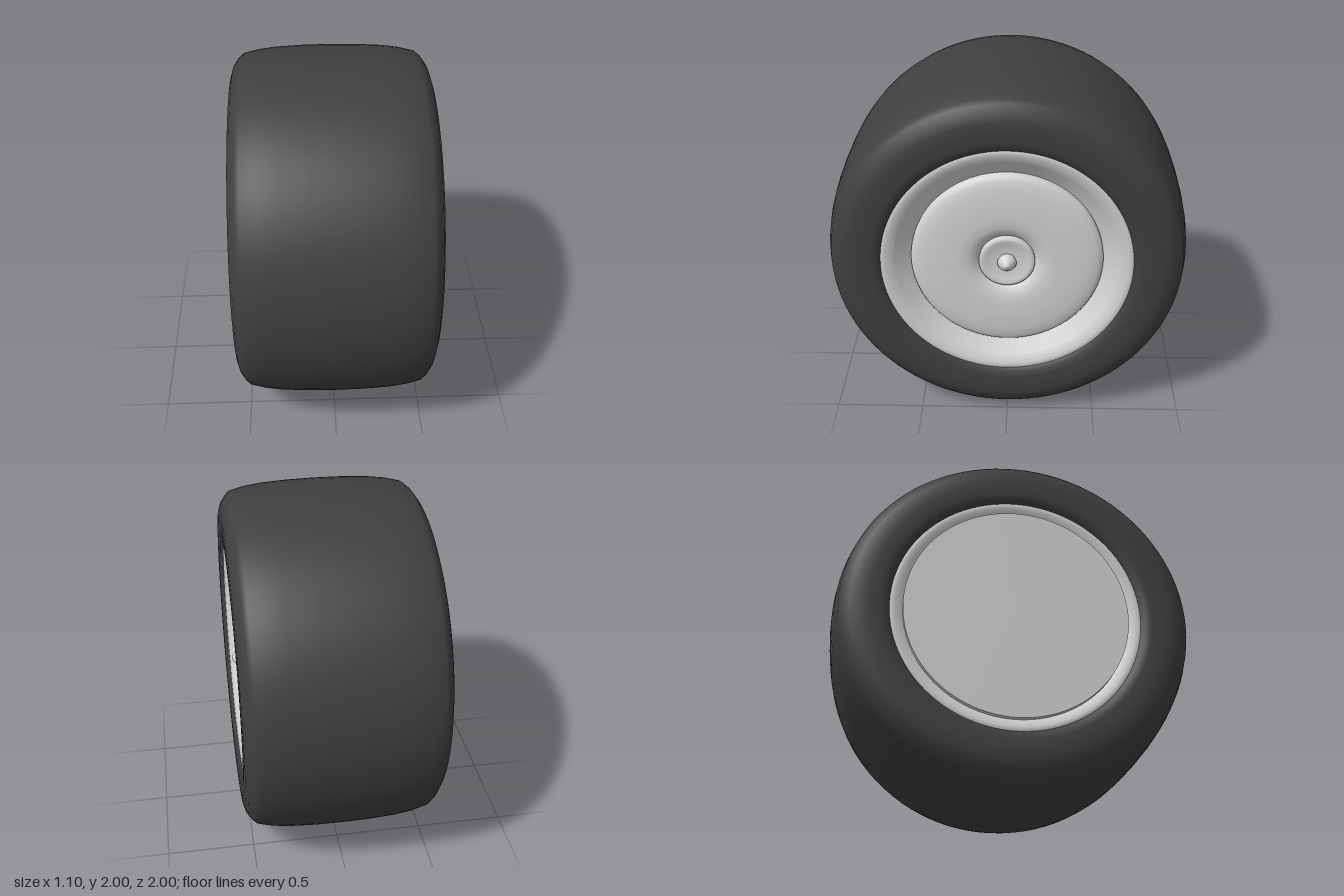
import * as THREE from 'three';

const SEGMENTS = 96;

export function createModel() {
  const rubber = new THREE.MeshStandardMaterial({ color: 0x3f3f3f });
  rubber.name = 'dark rubber';
  const metal = new THREE.MeshStandardMaterial({ color: 0xd4d4d4 });
  metal.name = 'light metal';

  const wheel = new THREE.Group();
  wheel.name = 'wheel';

  // Profiles are [radius, position along the axle] pairs, ordered so faces point outward
  const turn = (name, material, profile) => {
    const points = profile.map(([r, a]) => new THREE.Vector2(r, a));
    const mesh = new THREE.Mesh(new THREE.LatheGeometry(points, SEGMENTS), material);
    mesh.name = name;
    wheel.add(mesh);
  };
  const mirror = (profile) => profile.map(([r, a]) => [r, -a]).reverse();

  // Tyre: half profile from the middle of the tread to the rim, mirrored
  const halfTyre = [
    [0.998, 0.15], [0.99, 0.3], [0.977, 0.4], [0.957, 0.48], [0.935, 0.505],
    [0.895, 0.533], [0.85, 0.547], [0.8, 0.55], [0.74, 0.549], [0.705, 0.541], [0.685, 0.522],
  ];
  turn('tyre', rubber, [...mirror(halfTyre), [1, 0], ...halfTyre]);

  // Rim lips on both sides
  const lip = [[0.688, 0.515], [0.683, 0.526], [0.66, 0.523], [0.635, 0.515], [0.615, 0.503]];
  turn('outerRimLip', metal, lip);
  turn('innerRimLip', metal, mirror(lip));

  // Sloping wall between the lip and the wheel disc
  turn('rimWall', metal, [[0.615, 0.503], [0.5, 0.42]]);

  // Domed wheel disc, dipping towards the hub
  turn('wheelDisc', metal, [
    [0.525, 0.425], [0.525, 0.455], [0.516, 0.47], [0.49, 0.484], [0.44, 0.493], [0.36, 0.499],
    [0.27, 0.5], [0.22, 0.496], [0.185, 0.484], [0.165, 0.468], [0.145, 0.45],
  ]);

  // Dished hub cap with a pointed axle tip
  turn('hubCap', metal, [
    [0.153, 0.44], [0.153, 0.476], [0.146, 0.485], [0.132, 0.487],
    [0.11, 0.481], [0.08, 0.474], [0.03, 0.472],
  ]);
  turn('axleTip', metal, [[0.045, 0.465], [0.052, 0.49], [0.045, 0.505], [0.025, 0.527], [0.01, 0.537], [0, 0.54]]);

  // Flat closing plate on the other side
  turn('backPlateEdge', metal, [[0.615, -0.535], [0.615, -0.49]]);
  turn('backPlate', metal, [[0, -0.535], [0.615, -0.535]]);

  // Lay the axle along x and stand the wheel on the ground
  wheel.rotation.z = -Math.PI / 2;
  wheel.position.y = 1;
  const model = new THREE.Group();
  model.name = 'racingWheel';
  model.add(wheel);
  return model;
}
